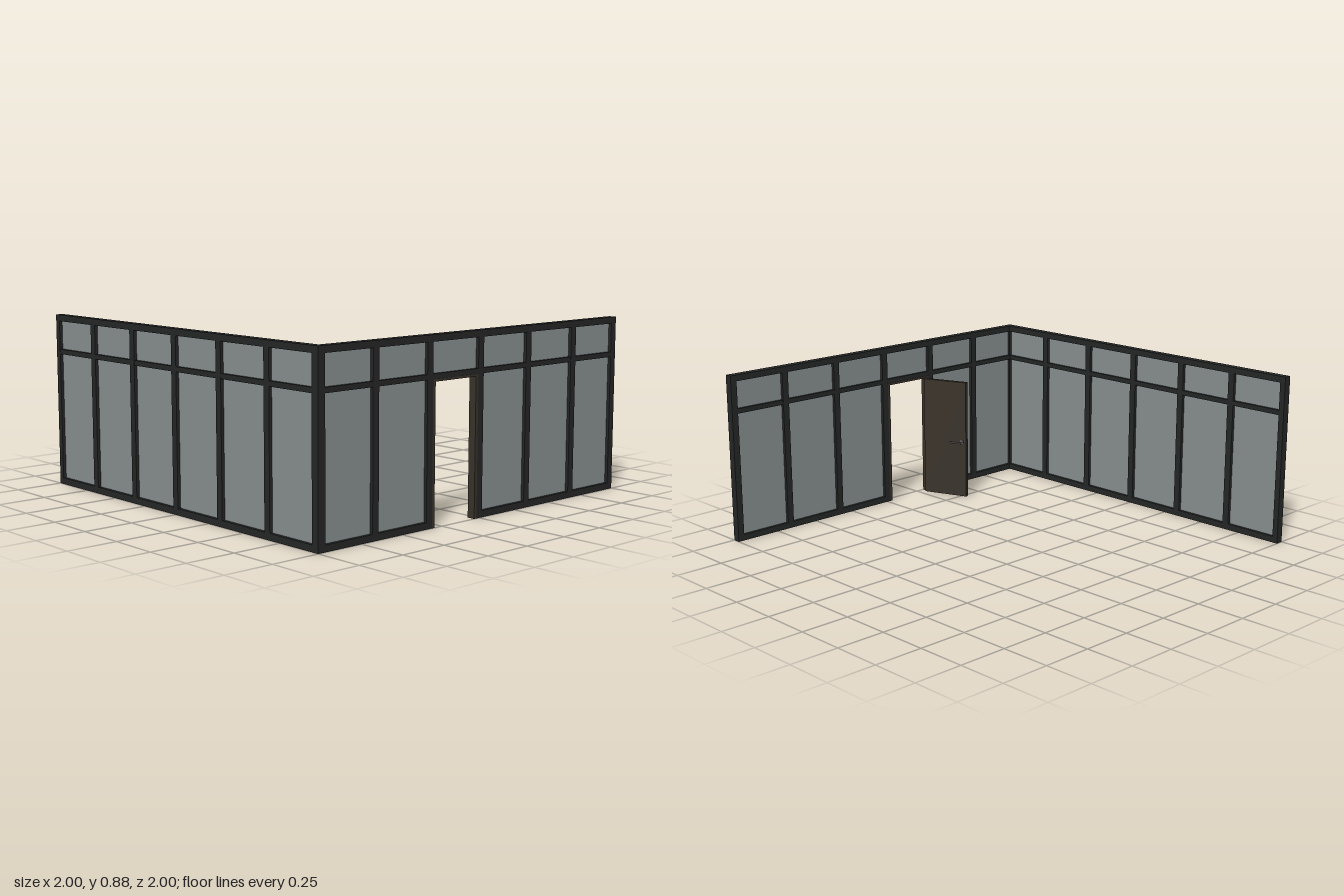
import * as THREE from 'three';

const H = 0.875, T = 0.04, RAIL = 0.032, POST = 0.036;
const TRANSOM_LOW = 0.675, TRANSOM_HIGH = 0.7;

const paint = (color) => new THREE.MeshStandardMaterial({ color });
const frameMat = paint(0x262727);
const glassMat = paint(0x8a9292);
const doorMat = paint(0x3a332b);
const metalMat = paint(0x707070);

// Box given by its limits along the wall (x) and in height (y)
function slab(parent, name, x0, x1, y0, y1, depth, mat, z = 0) {
  const mesh = new THREE.Mesh(new THREE.BoxGeometry(x1 - x0, y1 - y0, depth), mat);
  mesh.position.set((x0 + x1) / 2, (y0 + y1) / 2, z);
  mesh.name = name;
  parent.add(mesh);
  return mesh;
}

// Glazed wall along x: posts is a list of [start, end]; doorBay is the bay left open
function glazedWall(name, posts, doorBay = -1) {
  const wall = new THREE.Group();
  wall.name = name;
  const start = posts[0][0], end = posts[posts.length - 1][1];
  slab(wall, 'topRail', start, end, H - RAIL, H, T, frameMat);
  for (const [a, b] of posts) {
    if (b > a) slab(wall, 'post', a, b, 0, H - RAIL, T, frameMat);
  }
  for (let i = 0; i < posts.length - 1; i++) {
    const a = posts[i][1], b = posts[i + 1][0];
    slab(wall, 'transom', a, b, TRANSOM_LOW, TRANSOM_HIGH, T * 0.95, frameMat);
    slab(wall, 'upperGlass', a, b, TRANSOM_HIGH, H - RAIL, 0.008, glassMat);
    if (i === doorBay) continue;
    slab(wall, 'bottomRail', a, b, 0, RAIL, T, frameMat);
    slab(wall, 'lowerGlass', a, b, RAIL, TRANSOM_LOW, 0.008, glassMat);
  }
  return wall;
}

// Lever handle: a stem standing off the leaf and a lever turned back to the hinge
function handle(side) {
  const group = new THREE.Group();
  group.name = 'doorHandle';
  slab(group, 'rosette', 0.226, 0.246, 0.31, 0.33, 0.005, metalMat, side * 0.0145);
  const stem = new THREE.Mesh(new THREE.CylinderGeometry(0.004, 0.004, 0.034, 10), metalMat);
  stem.name = 'handleStem';
  stem.rotation.x = Math.PI / 2;
  stem.position.set(0.236, 0.32, side * 0.028);
  group.add(stem);
  const lever = new THREE.Mesh(new THREE.CylinderGeometry(0.0045, 0.0045, 0.066, 10), metalMat);
  lever.name = 'handleLever';
  lever.rotation.z = Math.PI / 2;
  lever.position.set(0.207, 0.32, side * 0.043);
  group.add(lever);
  return group;
}

export function createModel() {
  const model = new THREE.Group();
  model.name = 'glassPartition';

  const inner = [-2 / 3, -1 / 3, 0, 1 / 3, 2 / 3].map((c) => [c - POST / 2, c + POST / 2]);

  // Front wall, with the shared corner post at +x
  const front = glazedWall('frontWall', [[-1, -0.97], ...inner, [0.96, 1]]);
  front.position.z = 1 - T / 2;
  model.add(front);

  // Side wall runs from the corner to the back; its third bay holds the doorway
  const side = glazedWall('sideWall', [[-0.96, -0.96], ...inner, [0.965, 1]], 2);
  side.rotation.y = Math.PI / 2;
  side.position.x = 1 - T / 2;
  model.add(side);

  // Door lining
  const left = inner[1][1], right = inner[2][0];
  slab(side, 'doorJamb', left, left + 0.016, 0, TRANSOM_LOW, T, doorMat);
  slab(side, 'doorJamb', right - 0.016, right, 0, TRANSOM_LOW, T, doorMat);
  slab(side, 'doorHead', left + 0.016, right - 0.016, 0.664, TRANSOM_LOW, T, doorMat);

  // Door leaf standing open into the room
  const door = new THREE.Group();
  door.name = 'door';
  slab(door, 'doorLeaf', 0, 0.26, 0.003, 0.663, 0.025, doorMat);
  door.add(handle(1), handle(-1));
  door.position.set(0.962, 0, 0.291);
  door.rotation.y = Math.PI + 0.37;
  model.add(door);

  return model;
}
